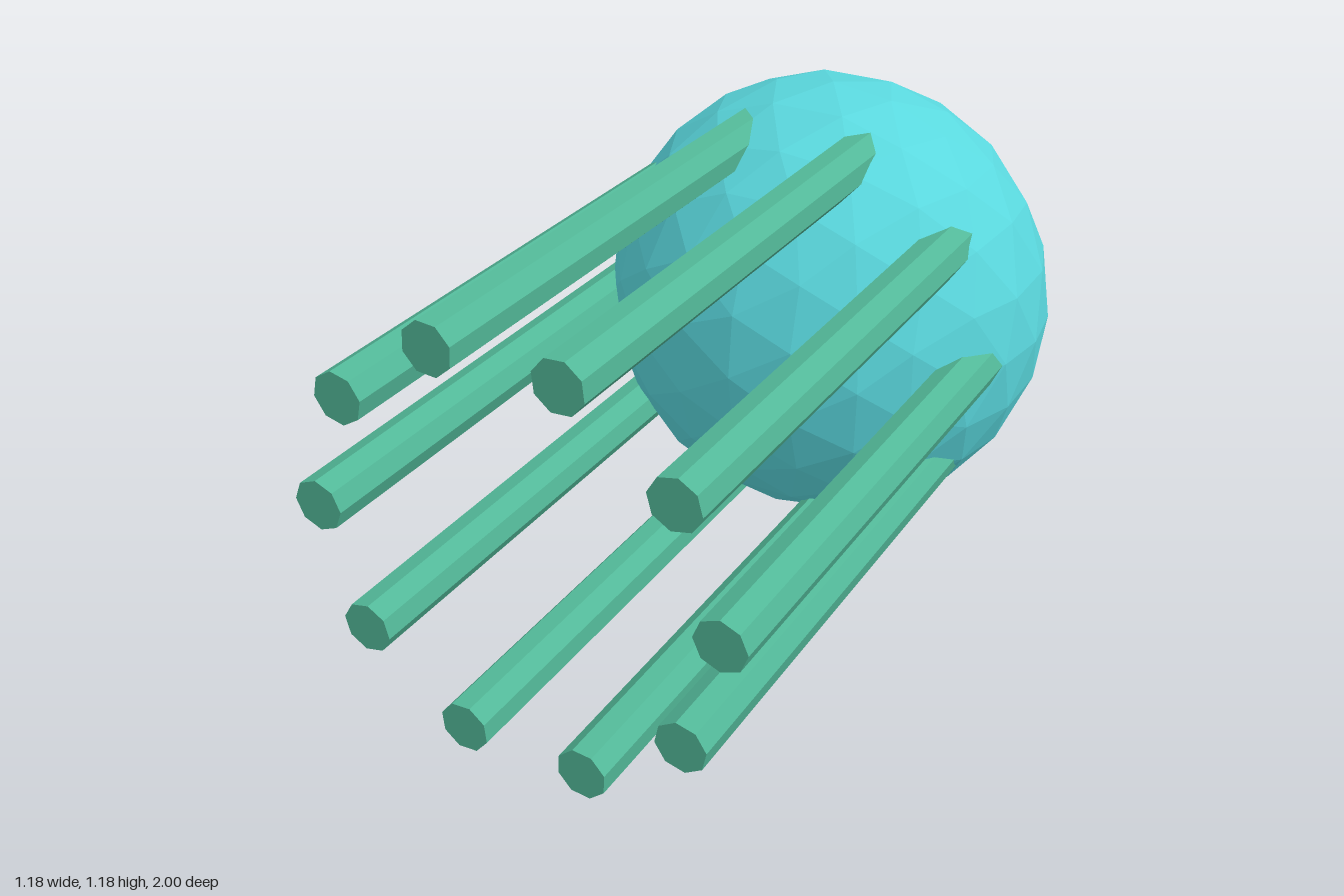
import * as THREE from 'three';

const bellMaterial = new THREE.MeshStandardMaterial({ name: 'aqua', color: 0x5ad8de, flatShading: true });
const tentacleMaterial = new THREE.MeshStandardMaterial({ name: 'seaGreen', color: 0x52b898, flatShading: true });

// Splits every triangle of a unit sphere into four, pushing the midpoints out to the surface
function subdivideSphere(source) {
  const pos = source.getAttribute('position');
  const points = [];
  for (let i = 0; i < pos.count; i += 3) {
    const [a, b, c] = [0, 1, 2].map((k) => new THREE.Vector3().fromBufferAttribute(pos, i + k));
    const mid = (p, q) => p.clone().add(q).normalize();
    const ab = mid(a, b), bc = mid(b, c), ca = mid(c, a);
    points.push(a, ab, ca, ab, b, bc, ca, bc, c, ab, bc, ca);
  }
  const geometry = new THREE.BufferGeometry().setFromPoints(points);
  geometry.computeVertexNormals();
  return geometry;
}

export function createModel() {
  const model = new THREE.Group();
  model.name = 'jellyfish';
  const centreY = 0.59;

  // Faceted bell, slightly flattened front to back
  const bell = new THREE.Mesh(subdivideSphere(new THREE.IcosahedronGeometry(1, 1)), bellMaterial);
  bell.name = 'bell';
  bell.scale.set(0.59, 0.59, 0.543);
  bell.position.set(0, centreY, -0.457);
  model.add(bell);

  // Ring of ten eight-sided tentacles reaching forward out of the bell
  const back = -0.45, front = 1, count = 10;
  const geometry = new THREE.CylinderGeometry(0.0625, 0.0625, front - back, 8);
  geometry.rotateX(Math.PI / 2);
  geometry.translate(0.5, 0, (front + back) / 2);
  const tentacles = new THREE.Group();
  tentacles.name = 'tentacles';
  tentacles.position.y = centreY;
  for (let i = 0; i < count; i++) {
    const tentacle = new THREE.Mesh(geometry, tentacleMaterial);
    tentacle.name = `tentacle${i + 1}`;
    tentacle.rotation.z = (i / count) * Math.PI * 2;
    tentacles.add(tentacle);
  }
  model.add(tentacles);

  return model;
}
